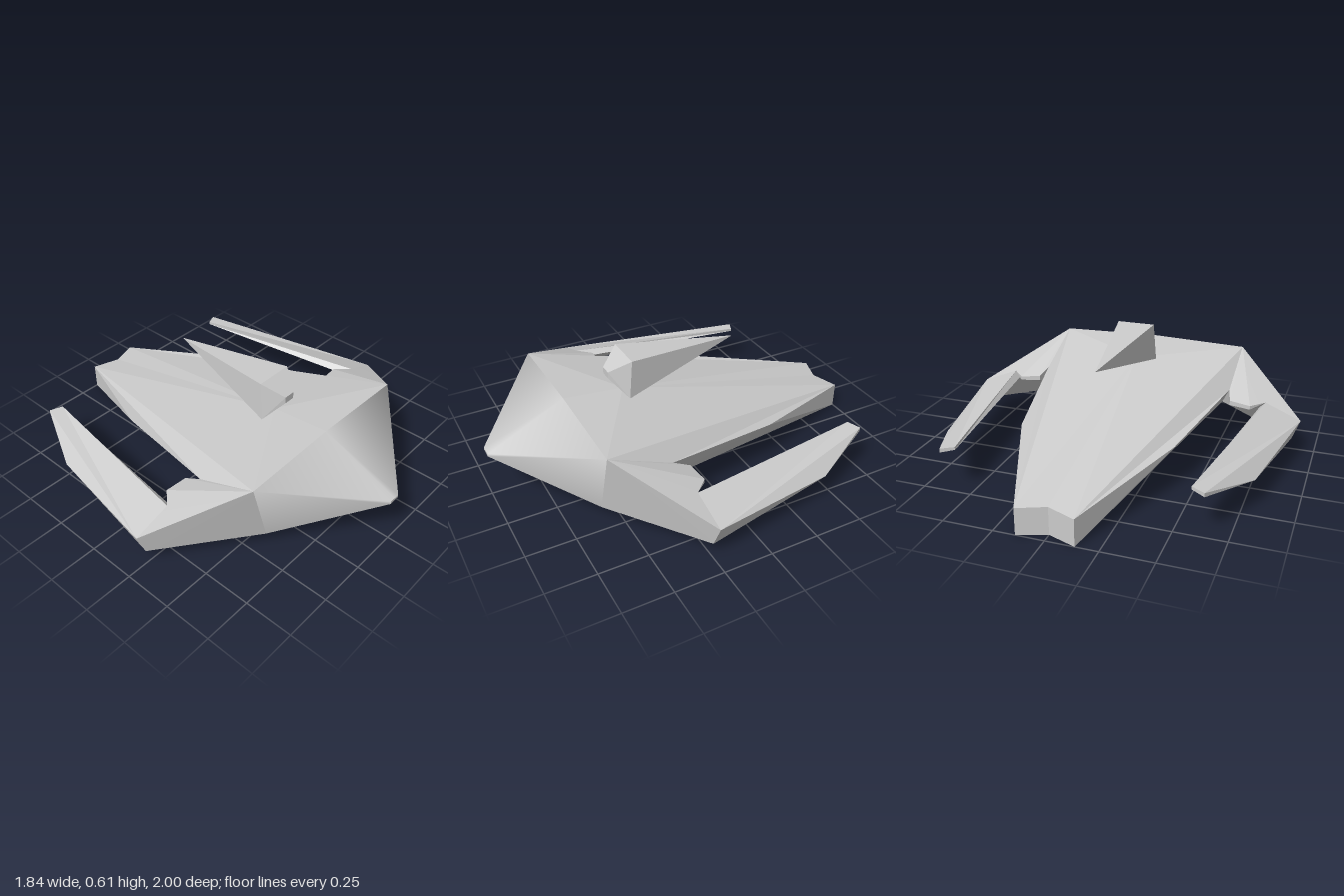
import * as THREE from 'three';
import { toCreasedNormals } from 'three/addons/utils/BufferGeometryUtils.js';

const grey = new THREE.MeshStandardMaterial({ color: 0xcccccc, side: THREE.DoubleSide });

// Builds convex panels, each turned away from an inside point, plus their mirror images.
function panels(name, inside, polys, crease = 0.05) {
  const centre = new THREE.Vector3(...inside);
  const pos = [];
  const flip = ([x, y, z]) => [-x, y, z];
  for (const poly of polys) {
    for (let i = 1; i < poly.length - 1; i++) {
      const [a, b, c] = [poly[0], poly[i], poly[i + 1]];
      const [A, B, C] = [a, b, c].map(p => new THREE.Vector3(...p));
      const n = B.clone().sub(A).cross(C.clone().sub(A));
      const mid = A.clone().add(B).add(C).divideScalar(3);
      const tri = n.dot(mid.sub(centre)) >= 0 ? [a, b, c] : [a, c, b];
      pos.push(...tri.flat());
      pos.push(...[tri[0], tri[2], tri[1]].map(flip).flat());
    }
  }
  const geo = new THREE.BufferGeometry();
  geo.setAttribute('position', new THREE.Float32BufferAttribute(pos, 3));
  geo.computeVertexNormals();
  const mesh = new THREE.Mesh(toCreasedNormals(geo, crease), grey);
  mesh.name = name;
  return mesh;
}

export function createModel() {
  const group = new THREE.Group();
  group.name = 'spacecraft';

  // Shoulder section, where nose, hull and wings meet
  const spine = [0, 0.44, 0.59], shoulder = [0.53, 0.425, 0.59];
  const chine = [0.43, 0.075, 0.59], keel = [0, 0.075, 0.59];
  // Nose tip
  const tipTop = [0.03, 0.265, 1], tipLow = [0.03, 0.25, 1];
  const tipTopMid = [0, 0.265, 1], tipLowMid = [0, 0.25, 1];
  // Hull deck, side ridge and notched tail
  const deck = [0, 0.41, 0.27], ridge = [0.53, 0.29, 0.26], ridgeRear = [0.4, 0.22, -0.37];
  const tailTop = [0.14, 0.135, -1], tailLow = [0.14, 0, -1];
  const tailTopMid = [0, 0.14, -0.95], tailLowMid = [0, 0, -0.95];

  group.add(panels('hull', [0, 0.2, 0.1], [
    [spine, shoulder, deck], [deck, shoulder, tailTop], [deck, tailTop, tailTopMid],
    [shoulder, ridge, tailTop], [ridge, ridgeRear, tailTop],
    [shoulder, chine, ridge], [ridge, chine, ridgeRear],
    [ridgeRear, chine, tailLow], [ridgeRear, tailLow, tailTop],
    [keel, chine, tailLow, tailLowMid],
    [tailTopMid, tailTop, tailLow, tailLowMid],
  ]));

  // Nose, softly shaded across its upper and side panels
  group.add(panels('nose', [0, 0.25, 0.5], [
    [spine, shoulder, tipTop, tipTopMid], [shoulder, chine, tipLow, tipTop],
  ], 1.6));
  group.add(panels('noseUnderside', [0, 0.25, 0.5], [
    [keel, chine, tipLow, tipLowMid], [tipTopMid, tipTop, tipLow, tipLowMid],
  ]));

  // Wing roots with a small tab in the gap behind them
  const outTop = [0.92, 0.175, 0.23], outLow = [0.88, 0.065, 0.24];
  const inTop = [0.73, 0.25, 0.24], inLow = [0.7, 0.22, 0.24];
  const tabTop = [0.66, 0.25, 0.165], tabLow = [0.66, 0.23, 0.165];
  const tabInTop = [0.55, 0.26, 0.18], tabInLow = [0.55, 0.235, 0.18];
  group.add(panels('wingRoots', [0.66, 0.2, 0.35], [
    [shoulder, outTop, inTop], [shoulder, inTop, tabTop],
    [shoulder, tabTop, tabInTop], [shoulder, tabInTop, ridge],
    [shoulder, chine, outLow, outTop],
    [chine, outLow, inLow], [chine, inLow, tabLow],
    [chine, tabLow, tabInLow], [chine, tabInLow, ridge],
    [inTop, inLow, tabLow, tabTop], [tabTop, tabLow, tabInLow, tabInTop],
    [tabInTop, tabInLow, ridge],
  ]));

  // Long wing prongs pointing backward
  const bend = [0.8, 0.145, -0.43];
  const endInTop = [0.575, 0.23, -0.73], endInLow = [0.575, 0.215, -0.73];
  const endOutTop = [0.64, 0.225, -0.76], endOutLow = [0.64, 0.205, -0.76];
  group.add(panels('wingProngs', [0.76, 0.19, 0], [
    [outTop, inTop, endInTop, endOutTop],
    [outTop, outLow, bend], [outTop, bend, endOutTop], [endOutTop, bend, endOutLow],
    [outLow, inLow, bend], [inLow, endInLow, bend], [bend, endInLow, endOutLow],
    [inTop, inLow, endInLow, endInTop],
    [endInTop, endOutTop, endOutLow, endInLow],
  ]));

  // Dorsal pod: blunt head tapering to a needle tail
  const half = [
    [[0, 0.54, 0.36], [0.03, 0.54, 0.36], [0.03, 0.505, 0.36], [0, 0.505, 0.36]],
    [[0, 0.61, 0.26], [0.1, 0.61, 0.26], [0.11, 0.41, 0.28], [0, 0.41, 0.28]],
  ];
  const [front, back] = half;
  const needle = [0, 0.55, -0.37];
  const pod = [front];
  for (let i = 0; i < 3; i++) {
    pod.push([front[i], front[i + 1], back[i + 1], back[i]], [back[i], back[i + 1], needle]);
  }
  group.add(panels('dorsalPod', [0, 0.53, 0.2], pod));

  return group;
}
